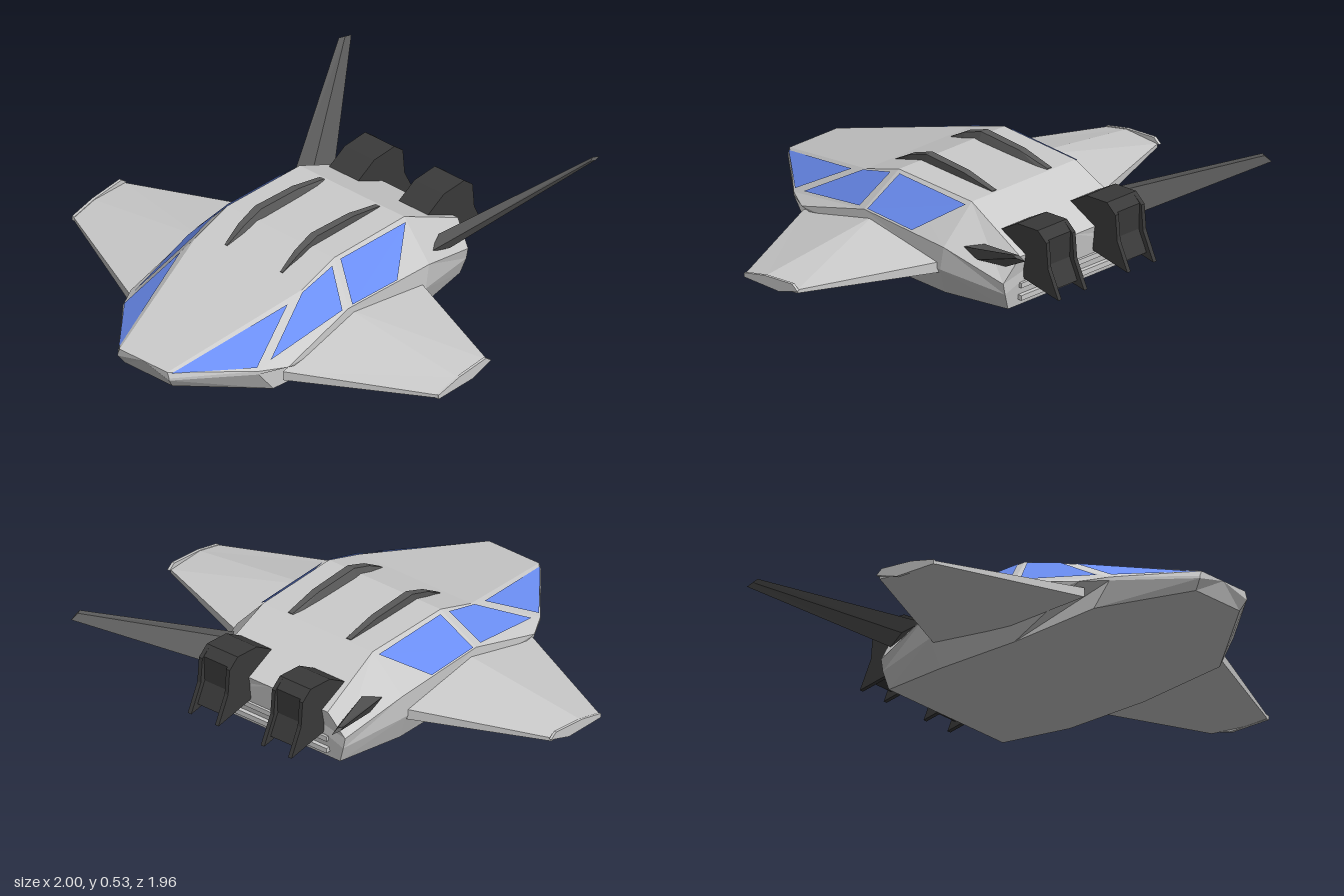
import * as THREE from 'three';

const mat = (color) => new THREE.MeshStandardMaterial({ color, flatShading: true, side: THREE.DoubleSide });
const grey = mat(0xcccccc), dark = mat(0x5a5a5a), black = mat(0x3a3a3a), glass = mat(0x6c8ff5);

// Flat-shaded geometry from triangle corners
function fromTriangles(tris) {
  const g = new THREE.BufferGeometry();
  g.setAttribute('position', new THREE.Float32BufferAttribute(tris.flat(2), 3));
  g.computeVertexNormals();
  return g;
}

// Capped loft through rings of [x, y, z]; wound so that faces point outward
function loft(rings) {
  const tris = [], n = rings[0].length;
  for (let i = 0; i < rings.length - 1; i++) {
    for (let j = 0; j < n; j++) {
      const k = (j + 1) % n;
      const [a, b, c, d] = [rings[i][j], rings[i][k], rings[i + 1][k], rings[i + 1][j]];
      tris.push([a, b, c], [a, c, d]);
    }
  }
  const first = rings[0], last = rings[rings.length - 1];
  for (let j = 1; j < n - 1; j++) {
    tris.push([first[0], first[j + 1], first[j]], [last[0], last[j], last[j + 1]]);
  }
  const v = (p) => new THREE.Vector3(...p);
  const volume = tris.reduce((s, [a, b, c]) => s + v(a).dot(v(b).cross(v(c))), 0);
  return fromTriangles(volume < 0 ? tris.map(([a, b, c]) => [a, c, b]) : tris);
}

// Copy of a non-indexed geometry reflected in x
function reflect(geometry) {
  const p = geometry.attributes.position, tris = [];
  for (let i = 0; i < p.count; i += 3) {
    tris.push([i, i + 2, i + 1].map((k) => [-p.getX(k), p.getY(k), p.getZ(k)]));
  }
  return fromTriangles(tris);
}

// Side profile of [z, y] points extruded from x0 to x1
function sideExtrude(profile, x0, x1) {
  const shape = new THREE.Shape(profile.map(([z, y]) => new THREE.Vector2(z, y)));
  const g = new THREE.ExtrudeGeometry(shape, { depth: x1 - x0, bevelEnabled: false });
  return g.rotateY(-Math.PI / 2).translate(x1, 0, 0).toNonIndexed();
}

// Flat pane on a hull facet; corners as [u along, v up], lifted off the surface
function pane(roofA, beltA, beltB, roofB, uvs, lift) {
  const [ra, ba, bb, rb] = [roofA, beltA, beltB, roofB].map((p) => new THREE.Vector3(...p));
  const normal = bb.clone().sub(ra).cross(rb.clone().sub(ba)).normalize();
  if (normal.x < 0) normal.negate();
  const pts = uvs.map(([u, v]) => ba.clone().lerp(bb, u)
    .lerp(ra.clone().lerp(rb, u), v).addScaledVector(normal, lift).toArray());
  const tris = [];
  for (let i = 1; i < pts.length - 1; i++) tris.push([pts[0], pts[i], pts[i + 1]]);
  return fromTriangles(tris);
}

export function createModel() {
  const model = new THREE.Group();
  const add = (name, geometry, material) => {
    const mesh = new THREE.Mesh(geometry, material);
    mesh.name = name;
    model.add(mesh);
  };
  const addPair = (name, geometry, material) => {
    add(name + 'Left', geometry, material);
    add(name + 'Right', reflect(geometry), material);
  };

  // Hull: roof edge, belt, lower belt and keel edge at each slanted station
  const stations = [
    [[0.13, 0.167, 0.98], [0.14, 0.142, 0.98], [0.14, 0.132, 0.98], [0.13, 0.09, 0.95]],
    [[0.29, 0.34, 0.36], [0.37, 0.145, 0.7], [0.37, 0.13, 0.7], [0.375, 0.03, 0.62]],
    [[0.29, 0.405, 0.17], [0.425, 0.25, 0.23], [0.43, 0.14, 0.59], [0.385, 0.01, 0.2]],
    [[0.285, 0.405, -0.25], [0.43, 0.245, -0.24], [0.43, 0.14, -0.22], [0.385, 0.018, -0.2]],
    [[0.3, 0.27, -0.55], [0.375, 0.165, -0.53], [0.365, 0.115, -0.53], [0.34, 0.04, -0.52]],
  ];
  const halfRings = stations.map((s) =>
    [[0, s[0][1], s[0][2]], ...s, [0, s[3][1], s[3][2]]]);
  addPair('hull', loft(halfRings), grey);

  // Windows: nose, middle and cabin panes on each side
  const panes = {
    noseWindow: [[0.03, 0.5], [0.96, 0.04], [0.93, 0.88]],
    middleWindow: [[0.1, 0.06], [0.93, 0.04], [0.9, 0.9], [0.08, 0.93]],
    cabinWindow: [[0.04, 0.03], [0.6, 0.03], [0.97, 0.9], [0.06, 0.92]],
  };
  Object.entries(panes).forEach(([name, uvs], i) => {
    const [a, b] = [stations[i], stations[i + 1]];
    addPair(name, pane(a[0], a[1], b[1], b[0], uvs, 0.008), glass);
  });

  // Wings: six-sided section tapering to the tip
  const section = (x, zy) => zy.map(([z, y]) => [x, y, z]);
  addPair('wing', loft([
    section(0.41, [[0.6, 0.115], [0.2, 0.222], [-0.21, 0.167], [-0.21, 0.12], [0.2, 0.072], [0.6, 0.075]]),
    section(0.99, [[0.32, 0.122], [0.2, 0.152], [0.02, 0.15], [0.02, 0.135], [0.2, 0.11], [0.32, 0.108]]),
  ]), grey);

  // Small upright plates at the wing tips
  addPair('wingTip', sideExtrude(
    [[0.32, 0.106], [0.32, 0.125], [0.2, 0.155], [0.04, 0.172], [0.01, 0.15], [0.12, 0.112]], 0.988, 1), grey);

  // Swept tail fins with a diamond section
  addPair('tailFin', loft([
    [[0.38, 0.255, -0.3], [0.345, 0.285, -0.39], [0.34, 0.225, -0.51], [0.395, 0.235, -0.4]],
    [[0.687, 0.533, -0.915], [0.675, 0.535, -0.94], [0.678, 0.522, -0.98], [0.688, 0.525, -0.94]],
  ]), dark);

  // Tapered roof rails: [z, bottom, top, half width]
  const rail = [[0.33, 0.335, 0.352, 0.01], [0.24, 0.36, 0.405, 0.021], [0.14, 0.39, 0.442, 0.025],
    [-0.08, 0.39, 0.436, 0.023], [-0.24, 0.39, 0.408, 0.016]];
  addPair('roofRail', loft(rail.map(([z, lo, hi, w]) => [
    [0.142 - w, lo, z], [0.142 + w, lo, z], [0.152 + w * 0.7, hi, z], [0.152 - w * 0.7, hi, z],
  ])), dark);

  // Engines: elbow-shaped cheeks around a core recessed at the rear and outlet
  const top = [[-0.4, 0.26], [-0.4, 0.33], [-0.5, 0.39], [-0.62, 0.4]];
  const cheek = [...top, [-0.67, 0.36], [-0.68, 0.25], [-0.74, 0.13], [-0.54, 0.16], [-0.51, 0.24]];
  const core = [...top, [-0.66, 0.365], [-0.655, 0.25], [-0.7, 0.16], [-0.555, 0.18], [-0.51, 0.24]];
  addPair('engineCore', sideExtrude(core, 0.125, 0.255), black);
  addPair('engineInnerCheek', sideExtrude(cheek, 0.11, 0.128), black);
  addPair('engineOuterCheek', sideExtrude(cheek, 0.252, 0.27), black);

  // Ledges across the stern
  [0.08, 0.135].forEach((y, i) => {
    const ledge = new THREE.BoxGeometry(0.58, 0.022, 0.04).translate(0, y, -0.525);
    add('sternLedge' + (i + 1), ledge, grey);
  });

  return model;
}
